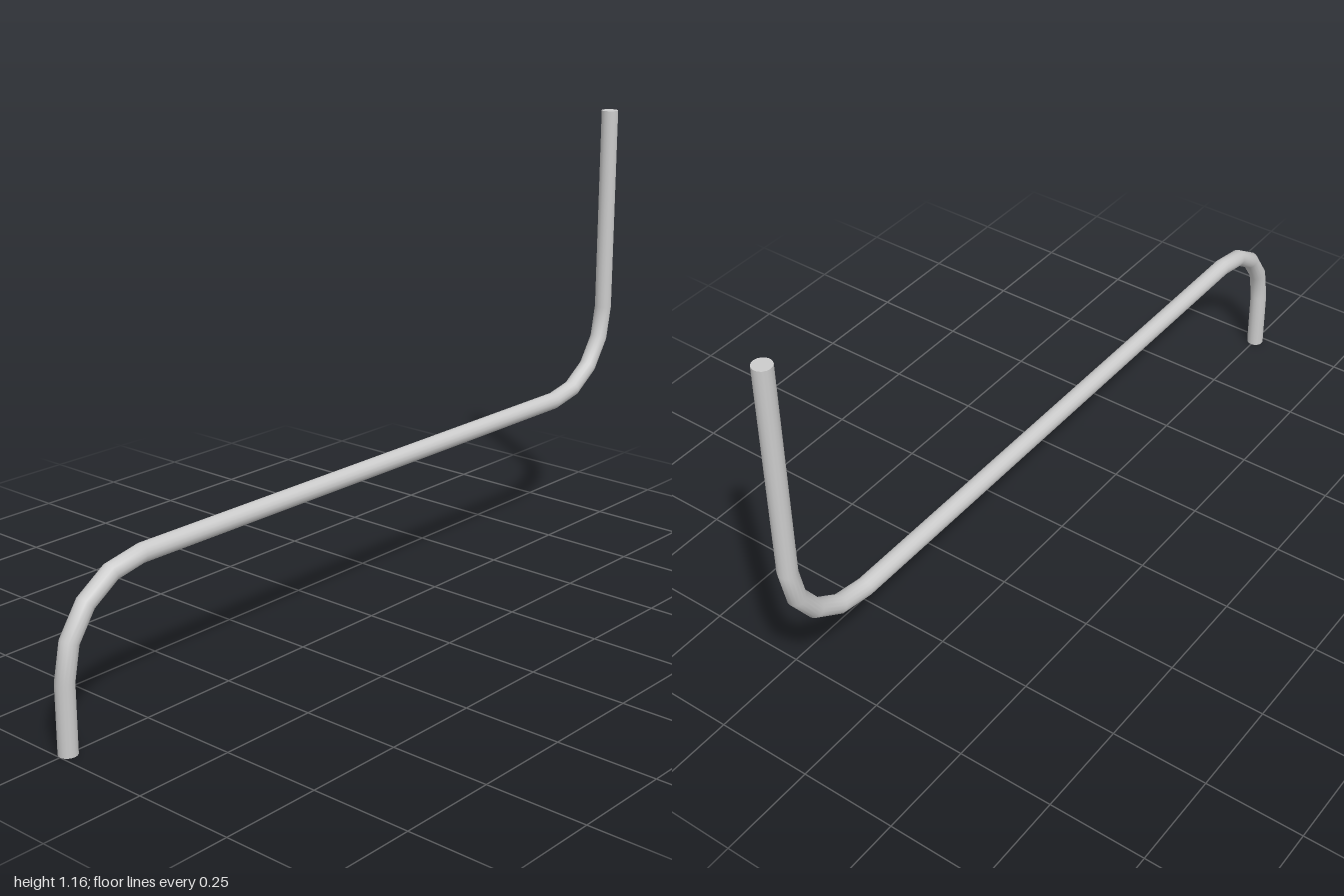
import * as THREE from 'three';

const RADIUS = 0.0225, SIDES = 16, BEND = 0.225, BEND_STEPS = 4;
const END_Z = 0.9775, BAR_Y = 0.39, TOP_Y = 1.157;

// Centre line as rows of y, z and tilt about x: up, over a bend, along the bar, up again
function centreLine() {
  const rows = [{ y: 0, z: END_Z, tilt: 0 }];
  for (let i = 0; i <= BEND_STEPS; i++) {
    const a = (i / BEND_STEPS) * Math.PI / 2;
    rows.push({
      y: BAR_Y - BEND + BEND * Math.sin(a),
      z: END_Z - BEND + BEND * Math.cos(a),
      tilt: -a,
    });
  }
  // the rear bend is the front one turned half round about the bar's middle
  for (let i = BEND_STEPS + 1; i > 0; i--) {
    const { y, z, tilt } = rows[i];
    rows.push({ y: 2 * BAR_Y - y, z: -z, tilt });
  }
  rows.push({ y: TOP_Y, z: -END_Z, tilt: 0 });
  return rows;
}

// Capped cylinder whose rings are moved onto the centre line
function bentRod(rows) {
  const spans = rows.length - 1;
  const geometry = new THREE.CylinderGeometry(RADIUS, RADIUS, spans, SIDES, spans);
  const { position, normal } = geometry.attributes;
  const xAxis = new THREE.Vector3(1, 0, 0);
  const v = new THREE.Vector3();
  for (let i = 0; i < position.count; i++) {
    const row = rows[Math.round(position.getY(i) + spans / 2)];
    v.set(position.getX(i), 0, position.getZ(i)).applyAxisAngle(xAxis, row.tilt);
    position.setXYZ(i, v.x, v.y + row.y, v.z + row.z);
    v.fromBufferAttribute(normal, i).applyAxisAngle(xAxis, row.tilt);
    normal.setXYZ(i, v.x, v.y, v.z);
  }
  return geometry;
}

export function createModel() {
  const group = new THREE.Group();
  group.name = 'crankedRod';
  const rod = new THREE.Mesh(
    bentRod(centreLine()),
    new THREE.MeshStandardMaterial({ color: 0xcccccc }),
  );
  rod.name = 'bentRod';
  group.add(rod);
  return group;
}
